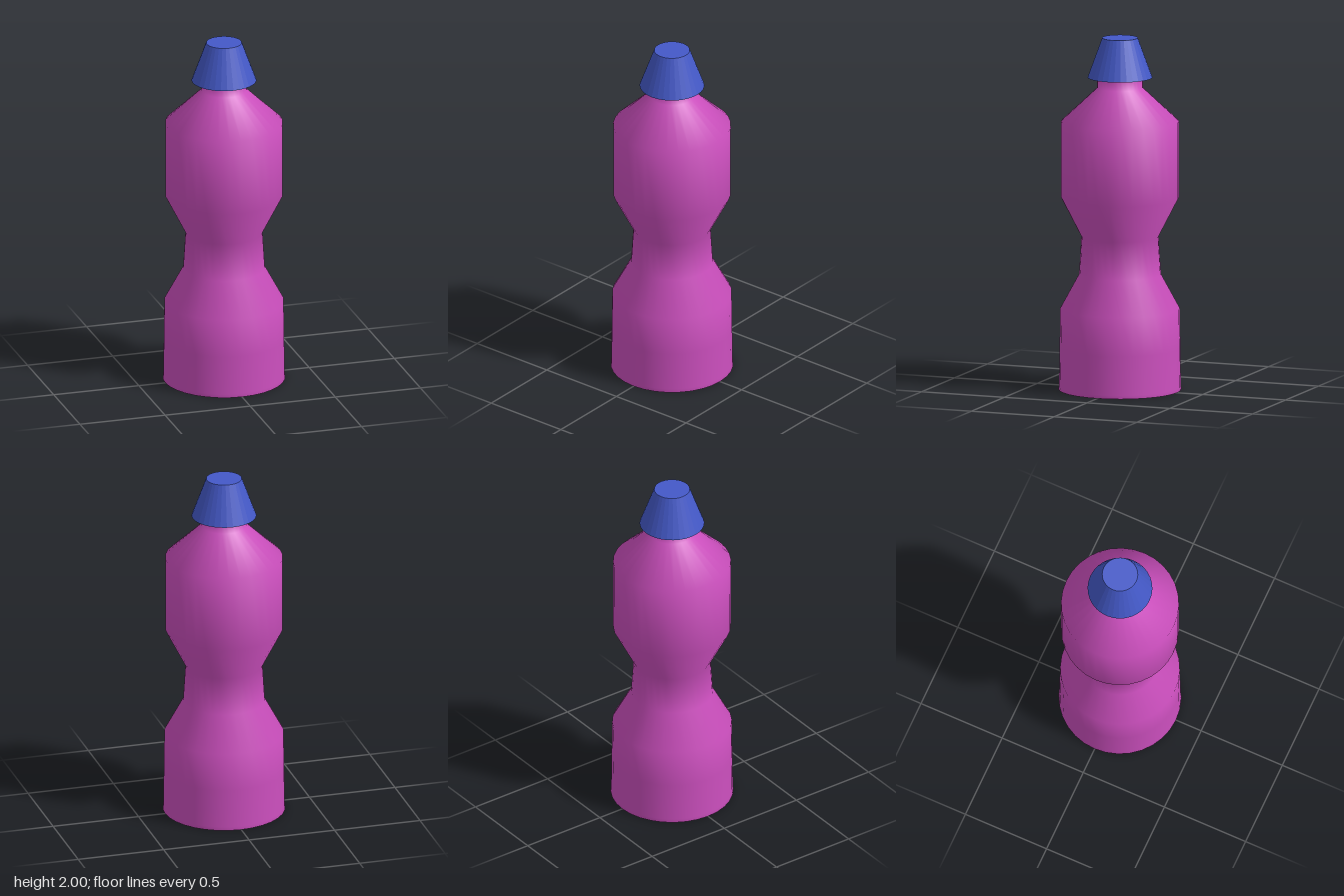
import * as THREE from 'three';

const SIDES = 32;

export function createModel() {
  const group = new THREE.Group();
  const add = (name, geometry, material) => {
    const mesh = new THREE.Mesh(geometry, material);
    mesh.name = name;
    group.add(mesh);
    return mesh;
  };

  const plastic = new THREE.MeshStandardMaterial({ color: 0xcc4fbe });
  const capPlastic = new THREE.MeshStandardMaterial({ color: 0x4459c8, flatShading: true });

  // Bottle: recessed base, foot rim, waisted grip, shoulder and neck.
  // The repeated point keeps a crisp edge around the base recess.
  const profile = [
    [0, 0.1], [0.325, 0.1], [0.325, 0.1], [0.34, 0],
    [0.345, 0], [0.342, 0.02], [0.339, 0.24], [0.336, 0.46],
    [0.23, 0.655], [0.217, 0.87], [0.33, 1.09], [0.331, 1.525],
    [0.128, 1.715], [0.128, 1.79],
  ].map(([r, y]) => new THREE.Vector2(r, y));
  add('bottleBody', new THREE.LatheGeometry(profile, SIDES), plastic);

  // Tapered cap, closed top and bottom
  const capBottom = 1.775;
  const capHeight = 2 - capBottom;
  add('cap', new THREE.CylinderGeometry(0.1, 0.182, capHeight, SIDES), capPlastic)
    .position.y = capBottom + capHeight / 2;

  return group;
}
